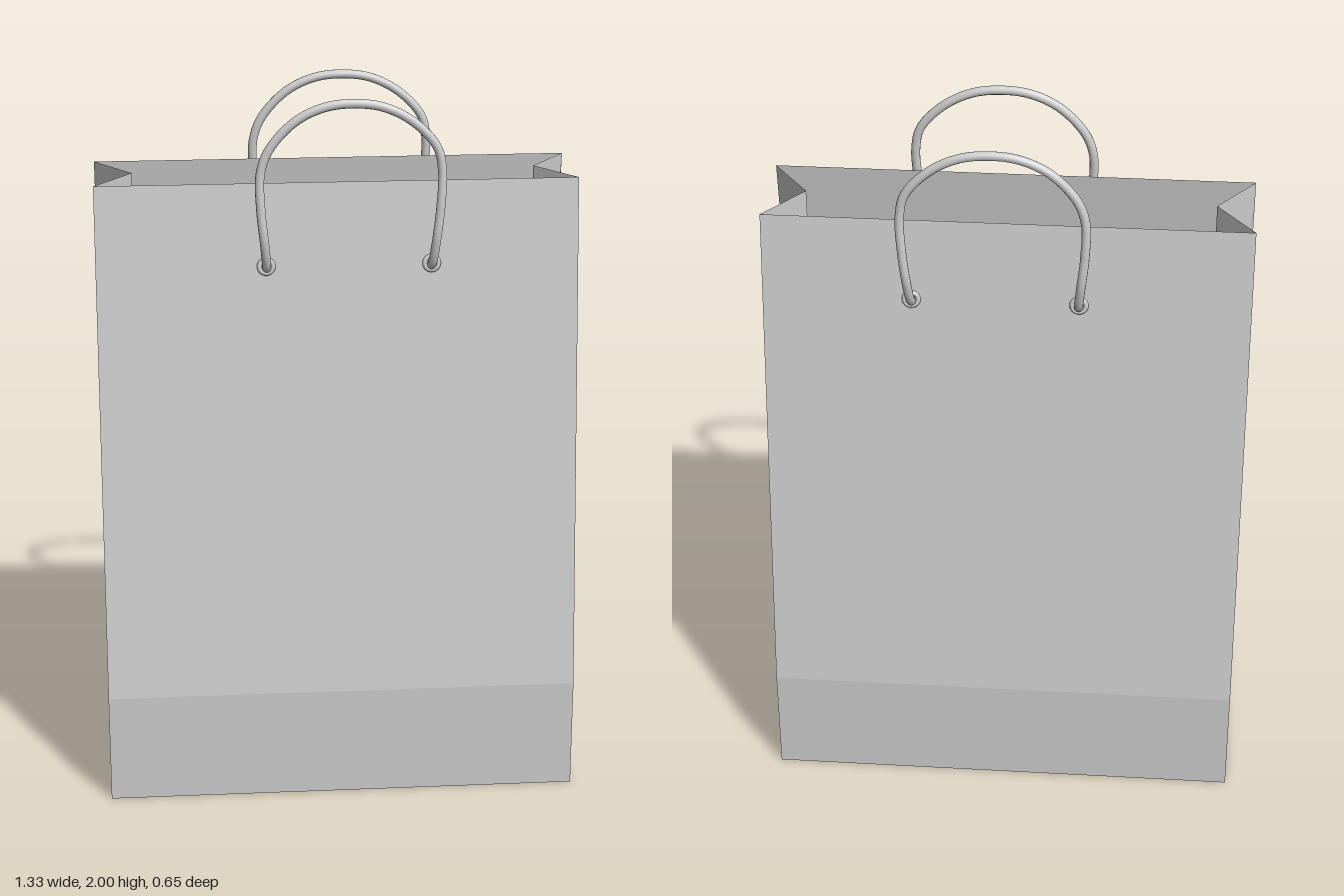
import * as THREE from 'three';

const W = 0.665, D = 0.325, TOP_D = 0.143, FOLD = 0.315, H = 1.76, CREASE = 0.56;

const paper = new THREE.MeshStandardMaterial({ color: 0xcccccc, flatShading: true, side: THREE.DoubleSide });
const cord = new THREE.MeshStandardMaterial({ color: 0xcccccc, side: THREE.DoubleSide });

// Sheet of paper made of flat polygons, each fanned from its first corner
function sheet(name, polygons) {
  const pos = [];
  for (const p of polygons) {
    for (let i = 1; i < p.length - 1; i++) pos.push(...p[0], ...p[i], ...p[i + 1]);
  }
  const g = new THREE.BufferGeometry();
  g.setAttribute('position', new THREE.Float32BufferAttribute(pos, 3));
  g.computeVertexNormals();
  const m = new THREE.Mesh(g, paper);
  m.name = name;
  return m;
}

// Wide panel: upright lower band, then leaning in to the mouth
function panel(name, s) {
  const lower = [[-W * s, 0, D * s], [W * s, 0, D * s], [W * s, FOLD, D * s], [-W * s, FOLD, D * s]];
  const upper = [lower[3], lower[2], [W * s, H, TOP_D * s], [-W * s, H, TOP_D * s]];
  return sheet(name, [lower, upper]);
}

// Side gusset folded inward along a vertical centre crease
function gusset(name, s) {
  const faces = [];
  for (const k of [1, -1]) {
    const base = [s * W, 0, k * D], mid = [s * W, 0, 0];
    const corner = [s * W, FOLD, k * D], crease = [s * CREASE, FOLD, 0];
    const rim = [s * W, H, k * TOP_D], rimCrease = [s * CREASE, H, 0];
    const half = [[base, mid, corner], [mid, crease, corner], [corner, crease, rimCrease, rim]];
    faces.push(...half.map((f) => (s * k > 0 ? f : [...f].reverse())));
  }
  return sheet(name, faces);
}

// Cord handle threaded through two eyelets, with short ends inside the bag
function handle(name, s) {
  const group = new THREE.Group();
  group.name = name;
  const path = [
    [-0.218, 1.5, 0.1], [-0.2, 1.52, 0.14], [-0.198, 1.53, 0.178], [-0.204, 1.6, 0.206],
    [-0.214, 1.7, 0.207], [-0.214, 1.8, 0.2], [-0.19, 1.865, 0.198], [-0.12, 1.94, 0.197],
    [-0.04, 1.978, 0.197], [0.04, 1.987, 0.197], [0.12, 1.976, 0.197], [0.2, 1.935, 0.197],
    [0.265, 1.865, 0.198], [0.28, 1.8, 0.2], [0.276, 1.7, 0.207], [0.265, 1.6, 0.206],
    [0.257, 1.53, 0.178], [0.253, 1.52, 0.14], [0.247, 1.5, 0.1],
  ].map(([x, y, z]) => new THREE.Vector3(x, y, z * s));
  const curve = new THREE.CatmullRomCurve3(path);
  const tube = new THREE.Mesh(new THREE.TubeGeometry(curve, 120, 0.0125, 12), cord);
  tube.name = 'cord';
  group.add(tube);

  // Closed cord ends
  for (const t of [0, 1]) {
    const cap = new THREE.Mesh(new THREE.CircleGeometry(0.0125, 12), cord);
    cap.name = 'cordEnd';
    cap.position.copy(curve.getPointAt(t));
    cap.lookAt(cap.position.clone().addScaledVector(curve.getTangentAt(t), t ? 1 : -1));
    group.add(cap);
  }

  // Eyelets lying on the leaning panel
  const lean = Math.atan2(D - TOP_D, H - FOLD);
  for (const x of [-0.199, 0.257]) {
    const ring = new THREE.Mesh(new THREE.TorusGeometry(0.019, 0.007, 8, 24), cord);
    ring.name = 'eyelet';
    ring.position.set(x, 1.533, s * 0.173);
    ring.rotation.x = -lean * s;
    group.add(ring);
  }
  return group;
}

export function createModel() {
  const bag = new THREE.Group();
  bag.name = 'paperBag';
  bag.add(
    panel('frontPanel', 1),
    panel('backPanel', -1),
    gusset('leftGusset', 1),
    gusset('rightGusset', -1),
    sheet('bottom', [[[-W, 0, -D], [W, 0, -D], [W, 0, D], [-W, 0, D]]]),
    handle('frontHandle', 1),
    handle('backHandle', -1),
  );
  return bag;
}
